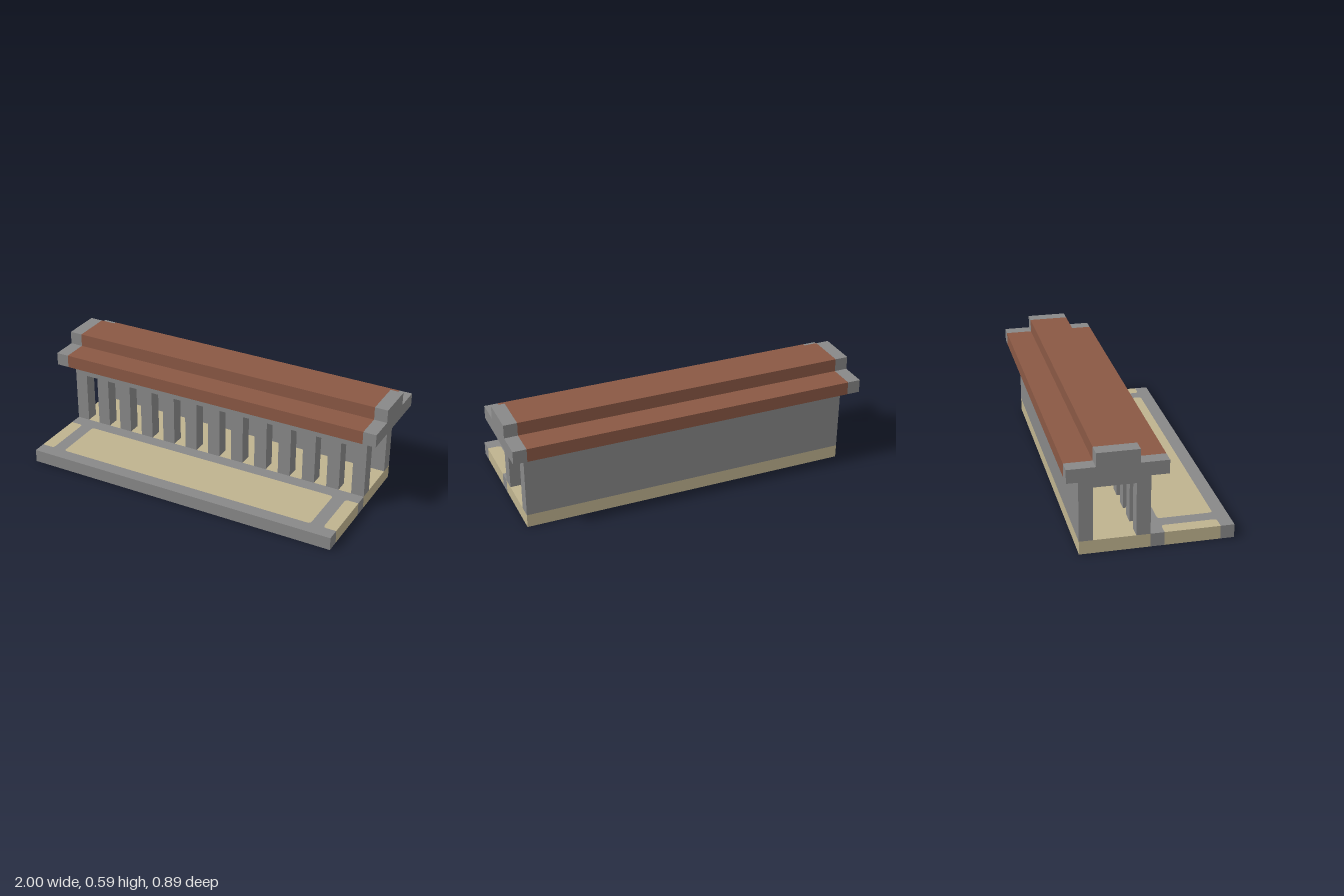
import * as THREE from 'three';

const U = 2 / 27; // building module: the roof is 27 modules long

function mat(name, color) {
  const m = new THREE.MeshStandardMaterial({ color });
  m.name = name;
  return m;
}

export function createModel() {
  const group = new THREE.Group();
  const stone = mat('grey stone', 0x888888);
  const sand = mat('sand', 0xbfb38f);
  const tile = mat('red tile', 0x8a5844);

  function add(name, geometry, material) {
    const mesh = new THREE.Mesh(geometry, material);
    mesh.name = name;
    group.add(mesh);
    return mesh;
  }

  // Box given by its limits in modules
  function box(name, material, x0, x1, y0, y1, z0, z1) {
    const g = new THREE.BoxGeometry((x1 - x0) * U, (y1 - y0) * U, (z1 - z0) * U);
    g.translate((x0 + x1) / 2 * U, (y0 + y1) / 2 * U, (z0 + z1) / 2 * U);
    return add(name, g, material);
  }

  // Floor slab, one module thick, from an outline in x and z
  function slab(name, material, shape) {
    const g = new THREE.ExtrudeGeometry(shape, { depth: 1, bevelEnabled: false, curveSegments: 4 });
    g.rotateX(Math.PI / 2).translate(0, 1, 0).scale(U, U, U);
    return add(name, g, material);
  }

  const R = 0.25; // corner radius of the sand panels

  // Curve across the end of a side bed; s is the side, straight at the outer edge
  function bedEdge(path, s) {
    path.lineTo(s * (11.5 + R), 1);
    path.quadraticCurveTo(s * 11.5, 1, s * 11.5, 1 + R);
    path.lineTo(s * 11.5, 5 - R);
    path.quadraticCurveTo(s * 11.5, 5, s * (11.5 + R), 5);
    path.lineTo(s * 12.5, 5);
  }

  function centrePath(path) {
    path.moveTo(-10.5 + R, 1);
    path.lineTo(10.5 - R, 1);
    path.quadraticCurveTo(10.5, 1, 10.5, 1 + R);
    path.lineTo(10.5, 5 - R);
    path.quadraticCurveTo(10.5, 5, 10.5 - R, 5);
    path.lineTo(-10.5 + R, 5);
    path.quadraticCurveTo(-10.5, 5, -10.5, 5 - R);
    path.lineTo(-10.5, 1 + R);
    path.quadraticCurveTo(-10.5, 1, -10.5 + R, 1);
    return path;
  }

  // Stone border around the sand beds
  const border = new THREE.Shape();
  border.moveTo(-12.5, 0);
  border.lineTo(12.5, 0);
  border.lineTo(12.5, 1);
  bedEdge(border, 1);
  border.lineTo(12.5, 6);
  border.lineTo(-12.5, 6);
  border.lineTo(-12.5, 5);
  // left-hand notch runs the other way
  border.lineTo(-11.5 - R, 5);
  border.quadraticCurveTo(-11.5, 5, -11.5, 5 - R);
  border.lineTo(-11.5, 1 + R);
  border.quadraticCurveTo(-11.5, 1, -11.5 - R, 1);
  border.lineTo(-12.5, 1);
  border.closePath();
  border.holes.push(centrePath(new THREE.Path()));
  slab('stoneBorder', stone, border);

  // Sand beds and the floor under the gallery
  slab('centreSandBed', sand, centrePath(new THREE.Shape()));
  for (const s of [-1, 1]) {
    const bed = new THREE.Shape();
    bed.moveTo(s * 12.5, 1);
    bedEdge(bed, s);
    bed.closePath();
    slab(s > 0 ? 'leftSandBed' : 'rightSandBed', sand, bed);
  }
  box('galleryFloor', sand, -12.5, 12.5, 0, 1, -5, 0);

  // Gallery: back wall, row of pillars, ceiling
  box('backWall', stone, -12.5, 12.5, 1, 5, -5, -4);
  for (let i = 0; i < 13; i++) {
    const x = -12.5 + i * 2;
    box('pillar', stone, x, x + 1, 1, 5, -1, 0);
  }
  box('ceiling', stone, -12.5, 12.5, 5, 6, -5, 0);

  // Stepped roof: one profile, tiled in the middle with stone end caps
  const profile = new THREE.Shape([
    [-1, 6], [6, 6], [6, 7], [4, 7], [4, 8], [1, 8], [1, 7], [-1, 7],
  ].map(([a, y]) => new THREE.Vector2(a, y)));
  function roof(name, material, x0, x1) {
    const g = new THREE.ExtrudeGeometry(profile, { depth: x1 - x0, bevelEnabled: false });
    g.rotateY(Math.PI / 2).translate(x0, 0, 0).scale(U, U, U);
    add(name, g, material);
  }
  roof('tiledRoof', tile, -12.5, 12.5);
  roof('rightRoofCap', stone, -13.5, -12.5);
  roof('leftRoofCap', stone, 12.5, 13.5);

  return group;
}
